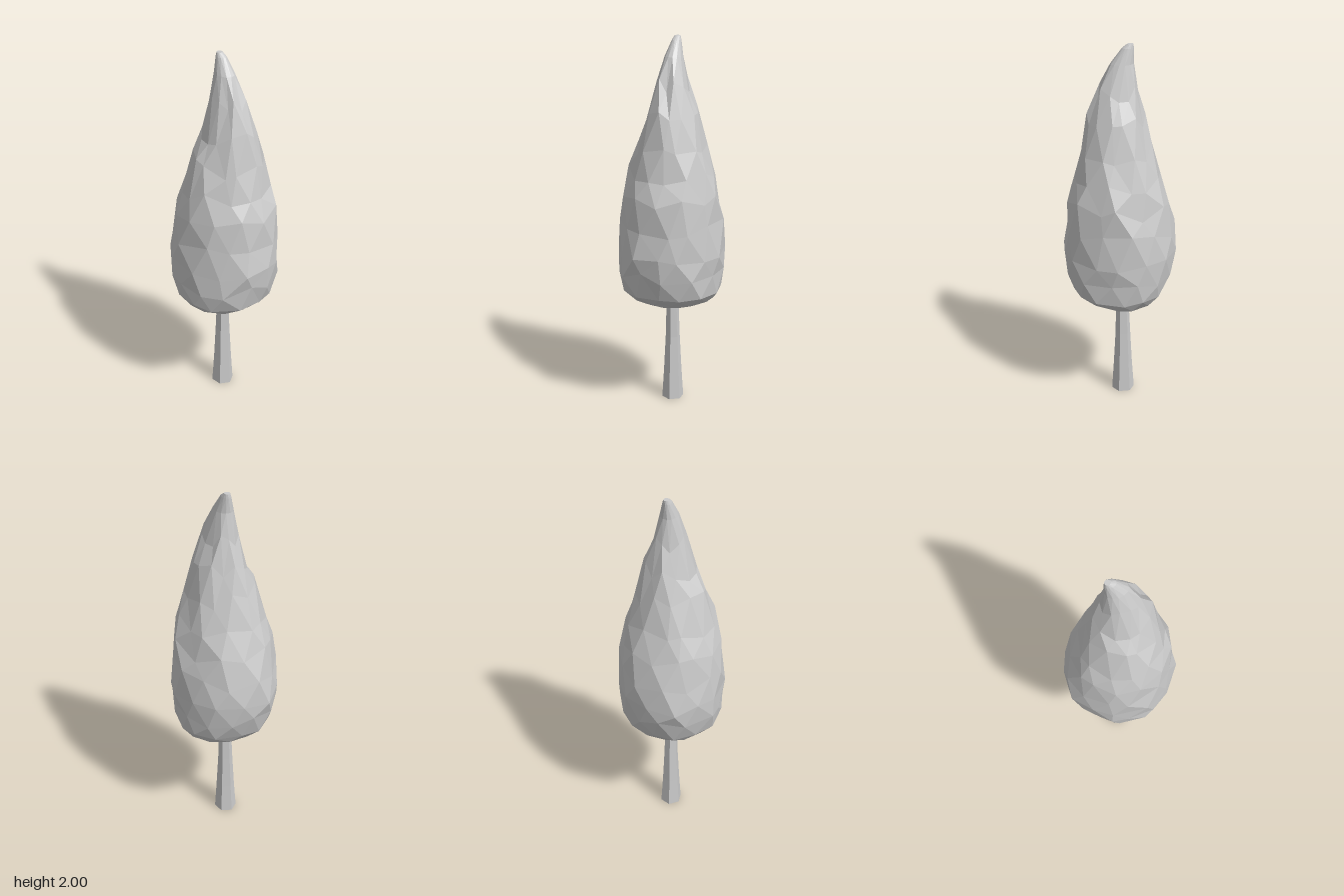
import * as THREE from 'three';

const SIDES = 13;

// Small seeded generator for the hand-cut facets
function seeded(seed) {
  return () => {
    seed = (seed * 16807) % 2147483647;
    return seed / 2147483647;
  };
}

// Loft closed rings of points, bottom to top; odd rings are turned half a step when staggered
function loft(rings, staggered) {
  const pos = [];
  const n = rings[0].length;
  const tri = (...pts) => pts.forEach((p) => pos.push(p.x, p.y, p.z));
  const middle = (ring) => ring.reduce((s, p) => s.add(p), new THREE.Vector3()).divideScalar(n);
  for (let r = 0; r < rings.length - 1; r++) {
    const lo = rings[r], up = rings[r + 1];
    for (let i = 0; i < n; i++) {
      const j = (i + 1) % n;
      if (staggered && r % 2) {
        tri(lo[i], up[j], up[i]);
        tri(lo[i], lo[j], up[j]);
      } else {
        tri(lo[i], lo[j], up[i]);
        tri(lo[j], up[j], up[i]);
      }
    }
  }
  const first = rings[0], last = rings[rings.length - 1];
  const a = middle(first), b = middle(last);
  for (let i = 0; i < n; i++) {
    const j = (i + 1) % n;
    tri(a, first[j], first[i]);
    tri(b, last[i], last[j]);
  }
  const geo = new THREE.BufferGeometry();
  geo.setAttribute('position', new THREE.Float32BufferAttribute(pos, 3));
  geo.computeVertexNormals();
  return geo;
}

function addPart(group, name, geo) {
  const mat = new THREE.MeshStandardMaterial({ color: 0xcccccc, flatShading: true });
  const mesh = new THREE.Mesh(geo, mat);
  mesh.name = name;
  group.add(mesh);
}

export function createModel() {
  const group = new THREE.Group();
  group.name = 'cypressTree';
  const rand = seeded(4127);

  // Foliage: height, left/right limits in x, back/front limits in z
  const sections = [
    [0.585, -0.165, 0.16, -0.17, 0.16],
    [0.605, -0.21, 0.2, -0.225, 0.225],
    [0.66, -0.255, 0.26, -0.27, 0.275],
    [0.77, -0.3, 0.298, -0.28, 0.288],
    [0.89, -0.315, 0.313, -0.287, 0.288],
    [1.02, -0.305, 0.298, -0.28, 0.28],
    [1.16, -0.27, 0.28, -0.265, 0.265],
    [1.3, -0.222, 0.24, -0.237, 0.235],
    [1.45, -0.172, 0.212, -0.195, 0.182],
    [1.6, -0.13, 0.172, -0.15, 0.127],
    [1.76, -0.09, 0.116, -0.097, 0.075],
    [1.9, -0.07, 0.05, -0.055, 0.037],
    [1.98, -0.069, -0.008, -0.037, 0.01],
    [2.0, -0.066, -0.035, -0.03, 0.0],
  ];
  const foliage = sections.map(([y, x0, x1, z0, z1], r) => {
    const rough = r > 0 && r < 11 ? 1 : 0;
    const gap = rough ? Math.min(y - sections[r - 1][0], sections[r + 1][0] - y) : 0;
    return Array.from({ length: SIDES }, (_, i) => {
      const turn = (i + (r % 2) / 2 + rough * (rand() - 0.5) * 0.45) / SIDES;
      const t = turn * Math.PI * 2;
      const k = 1.01 - rough * rand() * 0.06;
      return new THREE.Vector3(
        (x0 + x1) / 2 + Math.cos(t) * k * (x1 - x0) / 2,
        y + (rand() - 0.5) * gap * 0.6,
        (z0 + z1) / 2 - Math.sin(t) * k * (z1 - z0) / 2);
    });
  });
  addPart(group, 'foliage', loft(foliage, true));

  // Trunk: six-sided, flaring and bending slightly towards the foot
  const trunk = [[0, -0.018, 0.062], [0.17, -0.017, 0.051], [0.36, -0.017, 0.041], [0.64, -0.012, 0.032]]
    .map(([y, x, radius]) => Array.from({ length: 6 }, (_, i) => {
      const t = i * Math.PI / 3;
      return new THREE.Vector3(x + Math.cos(t) * radius, y, -Math.sin(t) * radius * 0.95);
    }));
  addPart(group, 'trunk', loft(trunk, false));

  return group;
}
